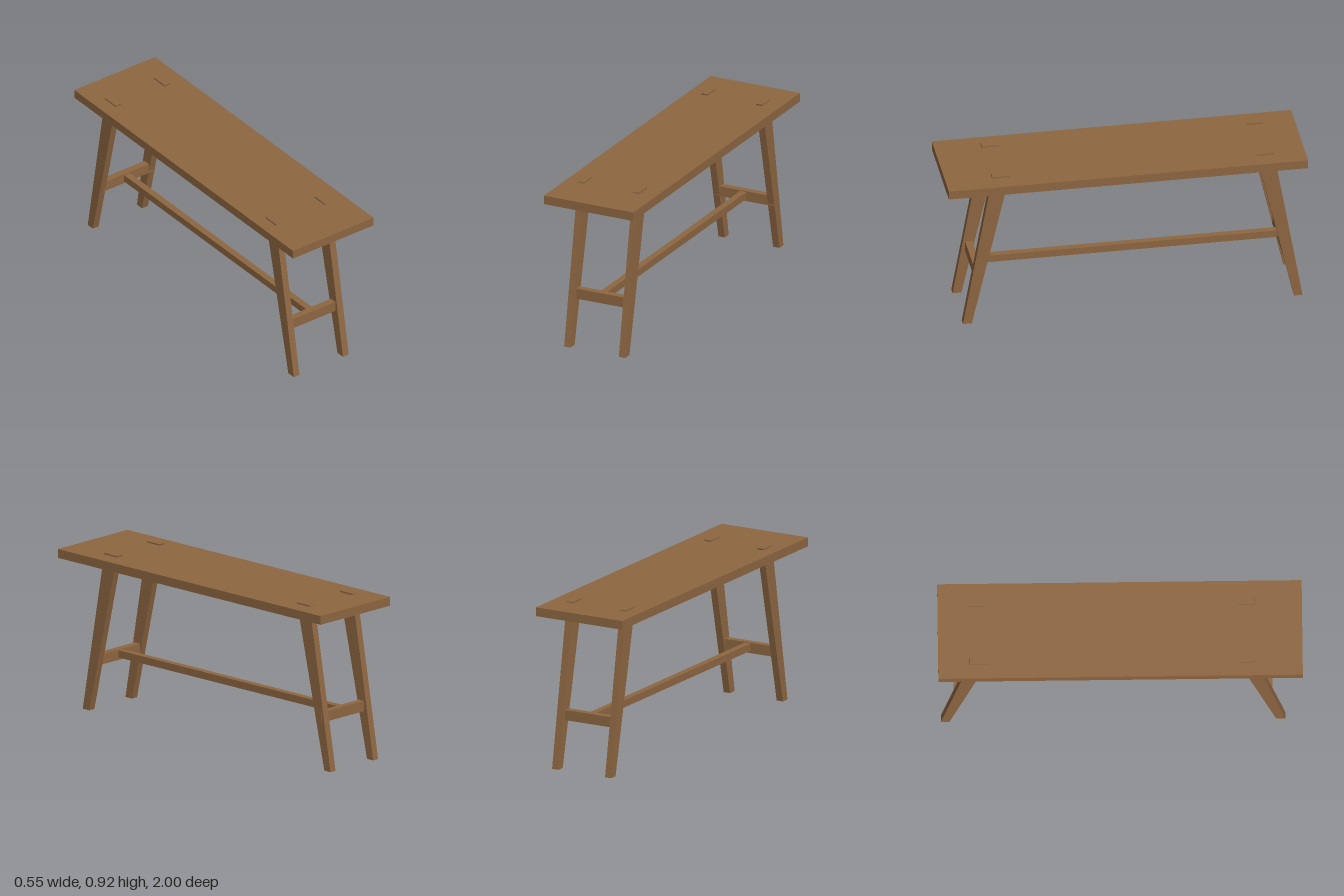
import * as THREE from 'three';

export function createModel() {
  const model = new THREE.Group();
  model.name = 'bench';
  const wood = new THREE.MeshStandardMaterial({ color: 0x8d6641 });
  wood.name = 'brown wood';

  function add(name, geometry) {
    const mesh = new THREE.Mesh(geometry, wood);
    mesh.name = name;
    model.add(mesh);
  }

  // Box given by its lower and upper limits on each axis
  function block(name, [x0, x1], [y0, y1], [z0, z1]) {
    const g = new THREE.BoxGeometry(x1 - x0, y1 - y0, z1 - z0);
    g.translate((x0 + x1) / 2, (y0 + y1) / 2, (z0 + z1) / 2);
    add(name, g);
  }

  // Splayed leg, wider at the top, running through the seat as a tenon
  const legTop = 0.918;
  function leg(name, [x0, x1], foot, tenon) {
    const g = new THREE.BoxGeometry(x1 - x0, legTop, 1);
    const p = g.attributes.position;
    for (let i = 0; i < p.count; i++) {
      const [z0, z1] = p.getY(i) > 0 ? tenon : foot;
      p.setZ(i, p.getZ(i) > 0 ? z1 : z0);
    }
    g.translate((x0 + x1) / 2, legTop / 2, 0);
    g.computeVertexNormals();
    add(name, g);
  }

  // Seat plank
  block('seat', [-0.276, 0.276], [0.86, 0.91], [-1, 1]);

  // Two pairs of legs
  const frontFoot = [0.855, 0.905], frontTenon = [0.645, 0.741];
  const backFoot = [-0.985, -0.938], backTenon = [-0.826, -0.73];
  leg('frontRightLeg', [-0.2, -0.161], frontFoot, frontTenon);
  leg('frontLeftLeg', [0.137, 0.177], frontFoot, frontTenon);
  leg('backRightLeg', [-0.196, -0.157], backFoot, backTenon);
  leg('backLeftLeg', [0.141, 0.181], backFoot, backTenon);

  // Cross rails between the legs and the long rail joining them
  block('frontCrossRail', [-0.175, 0.155], [0.265, 0.324], [0.795, 0.835]);
  block('backCrossRail', [-0.175, 0.182], [0.267, 0.325], [-0.915, -0.875]);
  block('longRail', [-0.03, 0.008], [0.279, 0.32], [-0.88, 0.8]);

  return model;
}
